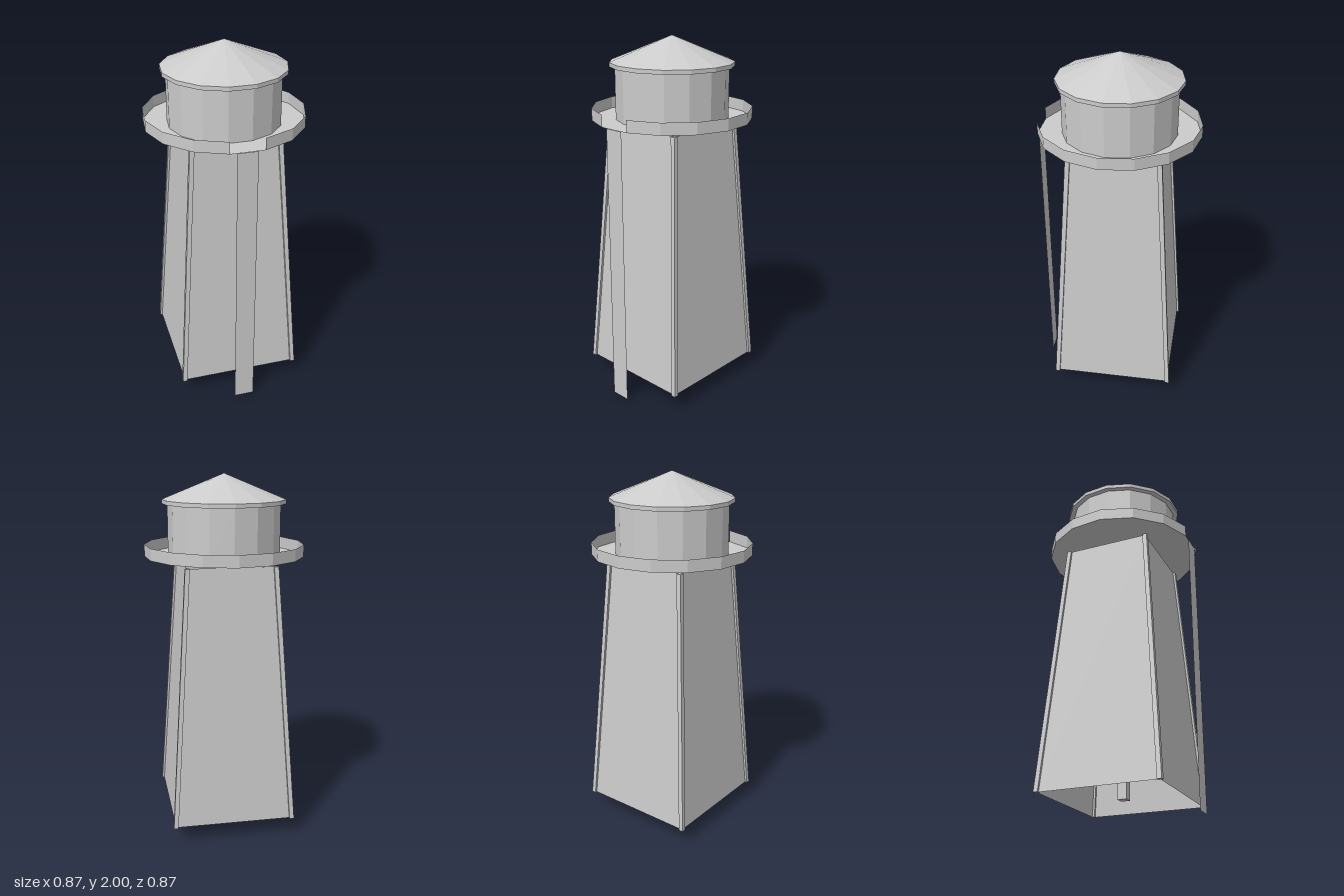
import * as THREE from 'three';

const SIDES = 15;
const CENTER_Z = 0.003;
const BASE_Y = 0.1, BODY_TOP = 1.53, DECK_Y = 1.56;
const BASE_HALF = 0.33, TOP_HALF = 0.236;

const solid = new THREE.MeshStandardMaterial({ color: 0xcccccc, flatShading: true });
const thin = new THREE.MeshStandardMaterial({ color: 0xcccccc, flatShading: true, side: THREE.DoubleSide });

export function createModel() {
  const model = new THREE.Group();
  model.name = 'tower';

  function add(name, geometry, material, x, y, z) {
    const mesh = new THREE.Mesh(geometry, material);
    mesh.name = name;
    mesh.position.set(x, y, z);
    model.add(mesh);
    return mesh;
  }

  // Upright ring or cone with a corner pointing to the back
  const prism = (rTop, rBottom, height, open) =>
    new THREE.CylinderGeometry(rTop, rBottom, height, SIDES, 1, open, Math.PI);

  // Tapered square walls, open above and below
  const bodyHeight = BODY_TOP - BASE_Y;
  const bodyMid = (BODY_TOP + BASE_Y) / 2;
  add('walls', new THREE.CylinderGeometry(TOP_HALF * Math.SQRT2, BASE_HALF * Math.SQRT2,
    bodyHeight, 4, 1, true, Math.PI / 4), thin, 0, bodyMid, 0);

  // Corner posts, leaning inward with the walls
  for (const sx of [-1, 1]) {
    for (const sz of [-1, 1]) {
      const post = new THREE.BoxGeometry(0.025, bodyHeight, 0.025);
      const pos = post.attributes.position;
      for (let i = 0; i < pos.count; i++) {
        const reach = pos.getY(i) > 0 ? TOP_HALF : BASE_HALF;
        pos.setX(i, pos.getX(i) + sx * reach);
        pos.setZ(i, pos.getZ(i) + sz * reach);
      }
      post.computeVertexNormals();
      add('cornerPost', post, solid, 0, bodyMid, 0);
    }
  }

  // Central pipe inside the body and its cap under the deck
  add('centerPipe', new THREE.BoxGeometry(0.05, bodyHeight, 0.05), solid, 0, bodyMid, CENTER_Z);
  add('pipeCap', new THREE.BoxGeometry(0.1, 0.03, 0.1), solid, 0, DECK_Y - 0.0155, 0.008);

  // Gallery deck
  const deck = new THREE.CircleGeometry(0.436, SIDES, Math.PI / 2);
  deck.rotateX(-Math.PI / 2);
  add('galleryDeck', deck, thin, 0, DECK_Y, CENTER_Z);

  // Railing with one side left out at the front for the ladder
  const step = (Math.PI * 2) / SIDES;
  add('railing', new THREE.CylinderGeometry(0.436, 0.436, 0.065, SIDES - 1, 1, true,
    step / 2, step * (SIDES - 1)), thin, 0, DECK_Y + 0.0325, CENTER_Z);

  // Flat ladder strip hanging from the railing gap to the ground
  add('ladder', new THREE.PlaneGeometry(0.11, DECK_Y), thin, 0, DECK_Y / 2, 0.432);

  // Lantern room
  add('lanternRoom', prism(0.307, 0.307, 0.282, true), thin, 0, DECK_Y + 0.141, CENTER_Z);

  // Roof: shallow fascia and cone
  add('roofEdge', prism(0.336, 0.336, 0.022, false), solid, 0, 1.853, CENTER_Z);
  add('roof', prism(0, 0.336, 0.136, true), solid, 0, 1.932, CENTER_Z);

  return model;
}
